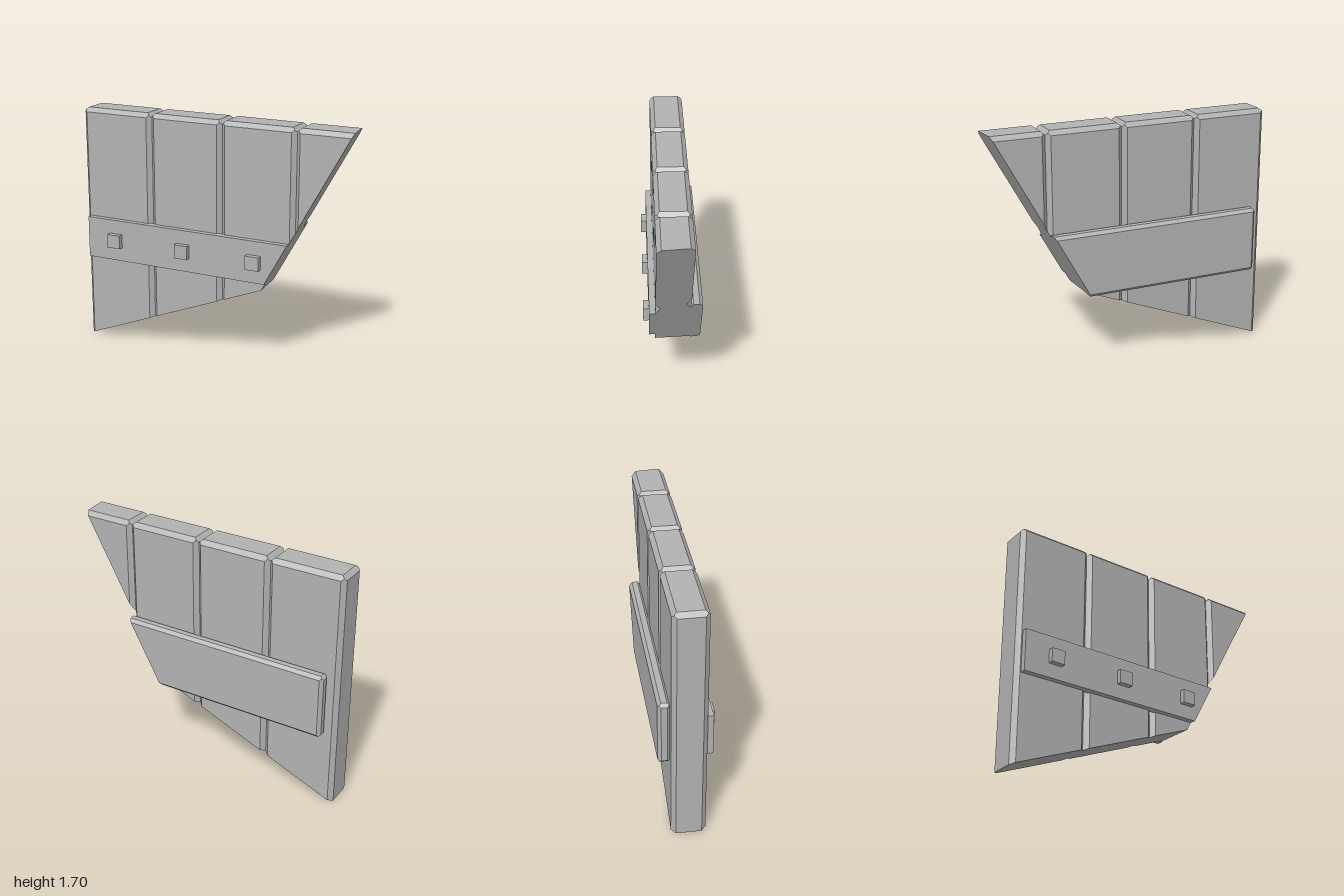
import * as THREE from 'three';
import { ConvexGeometry } from 'three/addons/geometries/ConvexGeometry.js';

// Half-space n.p <= d, kept as [normal, d]
const plane = (x, y, z, d) => [new THREE.Vector3(x, y, z), d];

// Sawn edges of the broken panel: gently rising bottom, steep right side
const CUTS = [
  plane(0.405, -1, 0, -0.405),
  plane(1, -0.546, -0.093, 0.379 - 0.546 * 0.557 - 0.093 * 0.11),
];

// Box limits with every edge bevelled by c
function boxPlanes(min, max, c) {
  const planes = [];
  const axes = ['x', 'y', 'z'];
  const side = (axis, s) => (s > 0 ? max[axis] : -min[axis]);
  axes.forEach((a, i) => {
    for (const s of [-1, 1]) {
      const n = new THREE.Vector3();
      n[axes[i]] = s;
      planes.push([n, side(axes[i], s)]);
      if (!c) continue;
      const b = axes[(i + 1) % 3];
      for (const t of [-1, 1]) {
        const m = new THREE.Vector3();
        m[a] = s;
        m[b] = t;
        planes.push([m, side(a, s) + side(b, t) - c]);
      }
    }
  });
  return planes;
}

// Convex solid bounded by the planes: corners are the triple intersections inside all of them
function solid(planes) {
  const points = [];
  const n = planes.length;
  for (let i = 0; i < n; i++) for (let j = i + 1; j < n; j++) for (let k = j + 1; k < n; k++) {
    const [[a, da], [b, db], [c, dc]] = [planes[i], planes[j], planes[k]];
    const bc = b.clone().cross(c);
    const det = a.dot(bc);
    if (Math.abs(det) < 1e-6) continue;
    const p = bc.multiplyScalar(da)
      .addScaledVector(c.clone().cross(a), db)
      .addScaledVector(a.clone().cross(b), dc)
      .divideScalar(det);
    if (planes.some(([m, d]) => m.dot(p) > d + 1e-6)) continue;
    if (points.every((q) => q.distanceTo(p) > 1e-4)) points.push(p);
  }
  return new ConvexGeometry(points);
}

export function createModel() {
  const group = new THREE.Group();
  const grey = new THREE.MeshStandardMaterial({ color: 0xb2b2b2 });
  grey.name = 'grey';

  const add = (name, min, max, bevel, cuts = []) => {
    const planes = boxPlanes(new THREE.Vector3(...min), new THREE.Vector3(...max), bevel);
    const mesh = new THREE.Mesh(solid([...planes, ...cuts]), grey);
    mesh.name = name;
    group.add(mesh);
  };

  // Upright planks, bevelled so that grooves form between them
  const edges = [-1, -0.465, 0.073, 0.61, 1.2];
  for (let i = 0; i < 4; i++) {
    add(`plank${i + 1}`, [edges[i], -0.5, -0.118], [edges[i + 1], 1.697, 0.114], 0.03, CUTS);
  }

  // Cross boards on the back and front, trimmed by the same steep cut
  add('backBoard', [-0.92, 0.537, -0.194], [1, 1.0, -0.11], 0.022, [CUTS[1]]);
  add('frontBoard', [-0.962, 0.62, 0.1], [1, 0.916, 0.154], 0, [CUTS[1]]);

  // Square pegs
  [-0.735, -0.197, 0.342].forEach((x, i) => {
    add(`peg${i + 1}`, [x - 0.049, 0.72, 0.15], [x + 0.049, 0.817, 0.192], 0);
  });

  return group;
}
